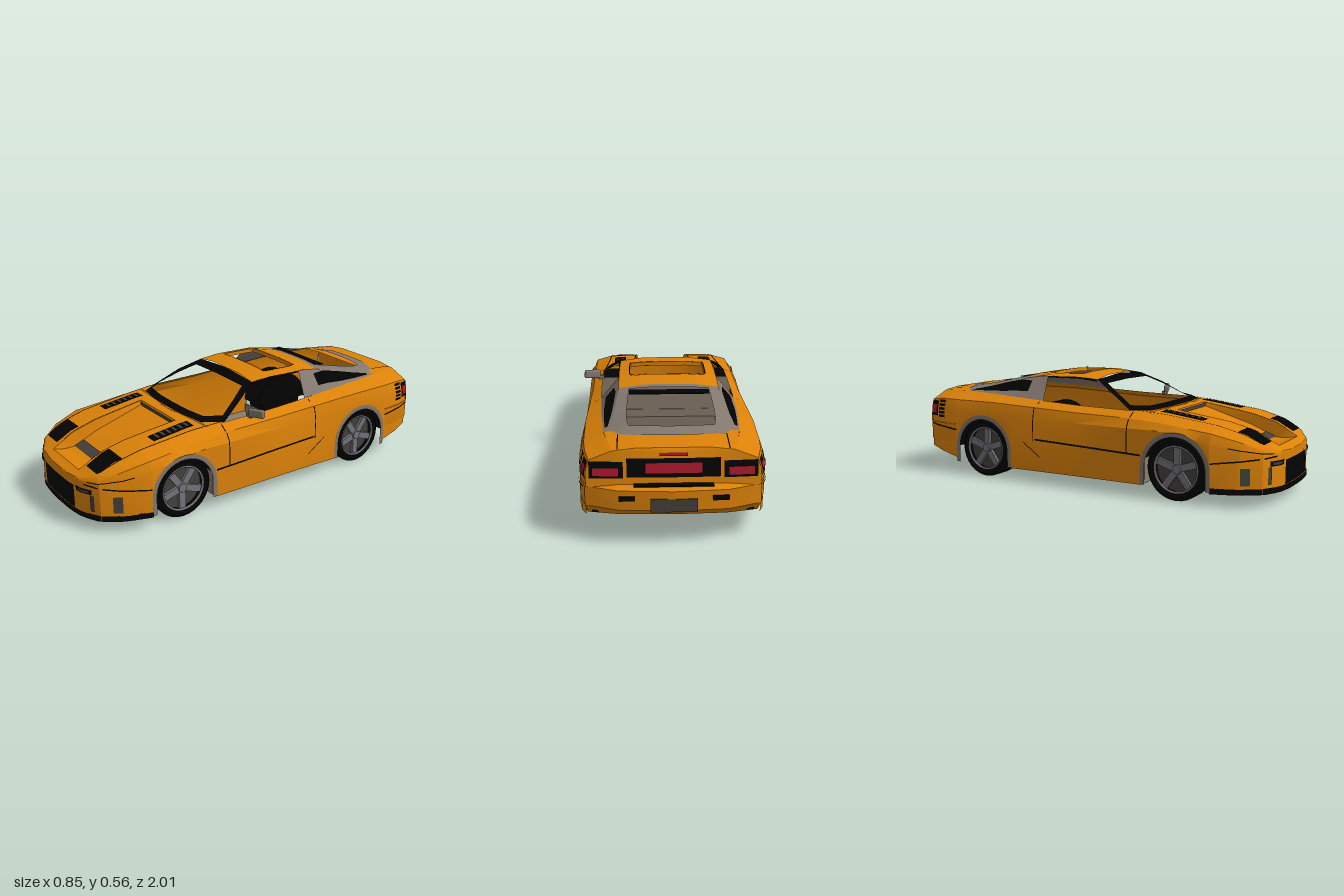
import * as THREE from 'three';
import { toCreasedNormals } from 'three/addons/utils/BufferGeometryUtils.js';
import { RoundedBoxGeometry } from 'three/addons/geometries/RoundedBoxGeometry.js';

const material = (name, color) => Object.assign(new THREE.MeshStandardMaterial({ color, side: THREE.DoubleSide }), { name });

// Body sections, nose to tail: z, half width, waist y, shoulder x, y, belt x, y, centre y
const SECTIONS = [
  [1.003, 0, .235, 0, .24, 0, .245, .245],
  [1, .12, .235, .12, .24, .1, .245, .247],
  [.985, .22, .235, .215, .245, .2, .25, .253],
  [.94, .31, .24, .30, .26, .28, .275, .275],
  [.85, .37, .26, .355, .30, .30, .322, .325],
  [.72, .41, .29, .39, .335, .31, .358, .36],
  [.45, .41, .33, .385, .365, .32, .393, .40],
  [.28, .41, .33, .385, .375, .335, .405, .407],
  [0, .405, .33, .385, .38, .335, .41, .41],
  [-.25, .405, .33, .39, .39, .33, .42, .42],
  [-.5, .41, .34, .395, .40, .32, .433, .44],
  [-.75, .41, .34, .39, .40, .30, .44, .455],
  [-.85, .40, .34, .38, .40, .28, .435, .448],
  [-.93, .375, .34, .36, .39, .26, .43, .442],
];
const ROOF = [[.04, .549], [-.07, .559], [-.29, .555], [-.45, .528], [-.61, .493], [-.83, .455]];
const BUMPER = [[.412, -.74], [.404, -.84], [.38, -.93], [.235, -.985], [0, -1]];
// Depth of the sunken hood panel along z
const SUNK = [[.96, 0], [.9, .045], [.85, .073], [.8, .066], [.46, .018], [.452, 0]];
const WHEEL_Z = [.55, -.555], WHEEL_Y = .153, ARCH = .17;

// Linear lookup in a table whose first column falls
function lookup(table, z) {
  let i = 0;
  while (i < table.length - 2 && z < table[i + 1][0]) i++;
  const a = table[i], b = table[i + 1];
  const t = THREE.MathUtils.clamp((a[0] - z) / (a[0] - b[0]), 0, 1);
  return a.map((v, k) => v + (b[k] - v) * t);
}
const span = (a, b, n) => Array.from({ length: n + 1 }, (_, i) => a + (b - a) * i / n);
const lerp = THREE.MathUtils.lerp;
const topY = (x, z) => lookup(ROOF, z)[1] - 5.5 * x ** 4;

// Lower edge of the body, cut by the wheel arches
function sillY(z) {
  for (const c of WHEEL_Z) {
    const d = Math.abs(z - c);
    if (d <= ARCH) return WHEEL_Y + Math.sqrt(ARCH * ARCH - d * d);
  }
  return z < -.72 ? lerp(.09, .145, (-.73 - z) / .24) : .066;
}
function sideX(z, y) {
  const [, w, y2, x3, y3, x4, y4] = lookup(SECTIONS, z);
  if (y <= y2) return w;
  if (y <= y3) return lerp(w, x3, (y - y2) / (y3 - y2));
  return lerp(x3, x4, Math.min(1, (y - y3) / (y4 - y3)));
}
// Hood and tail deck; the hood panel narrows toward the nose
const panelX = (z, x4) => Math.min(.16 - .05 * Math.max(0, z - .45), x4 * .6);
function deckY(x, z) {
  const [, , , , , x4, y4, yc] = lookup(SECTIONS, z);
  const edge = panelX(z, x4);
  if (x <= edge) return yc - lookup(SUNK, z)[1];
  return lerp(yc, y4, Math.min(1, (x - edge) / Math.max(x4 - edge, .001)));
}
const noseZ = x => lookup(SECTIONS.slice(0, 6).map(s => [-s[1], s[0]]), -x)[1];
const tailZ = (x, y) => -.925 - .014 * (1 - (x / .375) ** 2) - (.43 - y) * .09;

// Surface through rows of points
function grid(rows) {
  const n = rows[0].length, index = [];
  for (let r = 0; r < rows.length - 1; r++) for (let c = 0; c < n - 1; c++) {
    const a = r * n + c;
    index.push(a, a + 1, a + n, a + 1, a + n + 1, a + n);
  }
  const g = new THREE.BufferGeometry();
  g.setAttribute('position', new THREE.Float32BufferAttribute(rows.flat(2), 3));
  g.setIndex(index);
  return toCreasedNormals(g, .45);
}

export function createModel() {
  const car = new THREE.Group();
  car.name = 'car';
  const paint = material('orange paint', 0xdc8208), black = material('black trim', 0x030303);
  const grey = material('grey trim', 0x82786f), floorGrey = material('floor grey', 0x8a7d6f);
  const carpet = material('carpet grey', 0x665b52), pale = material('pale underbody', 0xc8baa6);
  const slat = material('slat grey', 0x45413c), silver = material('rim silver', 0x74747c);
  const red = material('lamp red', 0xb01a2c);

  const add = (name, mat, geo, parent = car) => {
    const m = new THREE.Mesh(geo, mat);
    m.name = name;
    parent.add(m);
    return m;
  };
  const both = (name, mat, rows) => {
    add(name + 'Left', mat, grid(rows));
    add(name + 'Right', mat, grid(rows.map(r => r.map(([x, y, z]) => [-x, y, z]))));
  };
  const box = (name, mat, w, h, d, x, y, z) => add(name, mat, new THREE.BoxGeometry(w, h, d)).position.set(x, y, z);
  // Thin painted patches that follow the body
  const sidePatch = (name, mat, z0, z1, y0, y1, rise = 0, off = .004) =>
    both(name, mat, span(0, 1, 6).map(v => span(0, 1, 8).map(t => {
      const z = lerp(z0, z1, t), y = lerp(y0, y1, v) + rise * t;
      return [sideX(z, y) + off, y, z];
    })));
  const deckPatch = (name, mat, x0, x1, z0, z1, taper = 0, off = .004) =>
    both(name, mat, span(0, 1, 6).map(t => span(0, 1, 4).map(u => {
      const z = lerp(z0, z1, t), x = lerp(x0, x1 - taper * t, u);
      return [x, deckY(x, z) + off, z];
    })));
  const nosePatch = (name, mat, x0, x1, y0, y1, off = .005) =>
    both(name, mat, [y0, y1].map(y => span(x0, x1, 8).map(x => [x, y, noseZ(x) + off])));
  const tailPatch = (name, mat, x0, x1, y0, y1, off = .004) =>
    both(name, mat, [y0, y1].map(y => span(x0, x1, 6).map(x => [x, y, tailZ(x, y) - off])));

  // Body sides, wrapping round the nose
  const zs = SECTIONS.map(s => s[0]);
  for (const c of WHEEL_Z) {
    zs.push(c + ARCH + .0005, c - ARCH - .0005);
    for (let k = 0; k <= 14; k++) zs.push(c + (ARCH - .0001) * Math.cos(k * Math.PI / 14));
  }
  zs.sort((a, b) => b - a);
  both('bodySide', paint, zs.map(z => {
    const [, w, y2, x3, y3, x4, y4] = lookup(SECTIONS, z), y0 = sillY(z);
    return [[w, y0, z], [w, Math.max(y2, y0 + .004), z], [x3, Math.max(y3, y0 + .008), z], [x4, y4, z]];
  }));
  // Hood, cowl corners and tail deck
  const deckRow = z => {
    const x4 = lookup(SECTIONS, z)[5], e = panelX(z, x4);
    return [x4, e + (x4 > .2 ? .008 : 0), e, 0].map(x => [x, deckY(x, z), z]);
  };
  both('hood', paint, [.4, .45, .46, .6, .72, .8, .85, .9, .94, .96, .985, 1, 1.003].map(deckRow));
  both('cowl', paint, [[.4, 0], [.37, .27], [.28, .33]].map(([z, x]) => {
    const s = lookup(SECTIONS, z);
    return [[s[5], s[6], z], [x, .404, z]];
  }));
  both('tailDeck', paint, [-.735, -.8, -.85, -.9, -.93].map(deckRow));

  // Tail panel and rear bumper
  const tailTop = x => {
    const [, w, y2, x3, y3, x4] = lookup(SECTIONS, -.93);
    if (x <= x4) return deckY(x, -.93);
    return x <= x3 ? lerp(.43, y3, (x - x4) / (x3 - x4)) : lerp(y3, y2, (x - x3) / (w - x3));
  };
  const tx = [0, .08, .16, .24, .26, .31, .36, .375];
  both('tailPanel', paint, [
    tx.map(x => [x, tailTop(x), -.93]),
    tx.map(x => [x, tailTop(x) - .012, tailZ(x, tailTop(x))]),
    tx.map(x => [x, .27, tailZ(x, .27)]),
  ]);
  both('rearBumper', paint, [
    BUMPER.map(([x, z]) => [x * .97, lerp(.09, .145, (-.73 - z) / .24), z * .975]),
    BUMPER.map(([x, z]) => [x, .18, z]),
    BUMPER.map(([x, z]) => [x, .27, z]),
    BUMPER.map(([x, z]) => [x * .95, .287, z + .05]),
  ]);
  box('bumperLedge', black, .34, .006, .028, 0, .286, -.967);
  box('numberPlate', slat, .2, .06, .008, 0, .205, -.997);
  for (const s of [-1, 1]) box('bumperSlot', black, .07, .022, .008, s * .2, .235, -.989);

  // Windshield surround, open in the middle
  both('windshieldFrame', black, [
    [[0, topY(0, .04), .04], [.235, topY(.235, .04), .04], [.291, .48, .15], [.335, .406, .275], [.27, .405, .37], [.14, .408, .393], [0, .41, .4]],
    [[0, .52, .085], [.212, .515, .085], [.259, .474, .17], [.3, .425, .262], [.25, .422, .34], [.13, .424, .36], [0, .426, .366]],
  ]);
  // Roof with sunroof opening, and rear hatch frame
  const onRoof = p => p.map(([x, z]) => [x, topY(x, z), z]);
  const sunroof = [[0, -.075], [.1, -.075], [.18, -.075], [.185, -.1], [.185, -.17], [.185, -.24], [.18, -.27], [.1, -.27], [0, -.27]];
  both('roof', paint, [
    onRoof([[0, .04], [.12, .04], [.235, .04], [.238, -.07], [.24, -.17], [.24, -.29], [.24, -.38], [.12, -.38], [0, -.38]]),
    onRoof(sunroof),
  ]);
  both('sunroofSeal', black, [1, 1.025].map(k =>
    onRoof(sunroof.map(([x, z]) => [x * k, -.172 + (z + .172) * k])).map(([x, y, z]) => [x, y + .003, z])));
  both('sunroofWall', paint, [0, .02].map(d => onRoof(sunroof).map(([x, y, z]) => [x, y - d, z])));
  both('hatchFrame', grey, [
    onRoof([[0, -.38], [.12, -.38], [.24, -.38], [.25, -.5], [.262, -.62], [.265, -.74], [.23, -.79], [.12, -.82], [0, -.825]]),
    onRoof([[0, -.41], [.1, -.41], [.19, -.41], [.195, -.5], [.2, -.6], [.2, -.68], [.19, -.73], [.1, -.745], [0, -.75]]),
  ]);
  box('hatchBeam', black, .38, .004, .06, 0, .521, -.44);
  both('roofRail', black, [[.235, 0], [.244, -.009]].map(([x, d]) =>
    span(.04, -.26, 6).map(z => [x, topY(.236, z) + d, z])));

  // Rear pillars with dark quarter windows
  const EDGE = [[-.22, .24], [-.38, .24], [-.5, .25], [-.62, .262], [-.74, .265]];
  const pillar = (z, t, off = 0) => {
    const s = lookup(SECTIONS, z), x = lookup(EDGE, z)[1];
    return [lerp(s[5], x, t) + off, lerp(s[6], topY(x, z), t) + off * .7, z];
  };
  both('rearPillar', grey, [-.225, -.3, -.38, -.5, -.62, -.74].map(z => [0, .5, 1].map(t => pillar(z - (z > -.25 ? .03 * t : 0), t))));
  both('quarterWindow', black, [[-.34, .3, .8], [-.41, .3, .92], [-.5, .25, .92], [-.6, .25, .9], [-.7, .3, .6]]
    .map(([z, a, b]) => [pillar(z, a, .005), pillar(z, b, .005)]));

  // Front details
  nosePatch('grille', black, 0, .16, .09, .205, .004);
  sidePatch('frontLip', black, 1.003, .725, .063, .09, 0, .006);
  nosePatch('lipFront', black, 0, .4, .063, .09, .007);
  nosePatch('noseSlot', black, .18, .275, .188, .212);
  nosePatch('noseLamp', slat, .195, .262, .194, .206, .008);
  nosePatch('intakeInner', slat, .265, .285, .105, .185);
  nosePatch('intakeOuter', slat, .345, .37, .105, .185);
  deckPatch('headlight', black, .165, .295, .81, .93, .02);
  deckPatch('noseVent', slat, 0, .138, .80, .85);
  both('hoodStep', slat, [[[0, .377, .462], [.155, .377, .462]], [[0, .398, .462], [.155, .398, .462]]]);
  both('hoodLine', black, [.009, .013].map(d => span(.45, .9, 8).map(z => {
    const x = panelX(z, 1) + d;
    return [x, deckY(x, z) + .002, z];
  })));
  both('hoodSeam', black, [0, .006].map(d => span(.3, .92, 12).map(z => {
    const x = lookup(SECTIONS, z)[5] - .004 - d;
    return [x, deckY(x, z) + .003, z];
  })));
  sidePatch('noseSeam', black, .99, .8, .239, .243, .034);
  deckPatch('tailSeam', black, .236, .241, -.79, -.93, 0, .003);
  deckPatch('hoodVent', black, .215, .28, .415, .635);
  for (let i = 0; i < 6; i++) deckPatch('hoodSlat' + i, slat, .223, .272, .435 + i * .032, .451 + i * .032, 0, .008);

  // Side lines, door gaps, vents and lamps
  sidePatch('frontLine', black, .98, .725, .228, .235, -.03);
  sidePatch('doorLine', black, .375, -.23, .203, .212, .022);
  sidePatch('sillCrease', black, -.2, -.3, .138, .143, .07);
  sidePatch('rearLine', black, -.73, -.92, .238, .246, .02, .008);
  sidePatch('doorGapFront', black, .302, .297, .21, .40);
  sidePatch('doorGapRear', black, -.238, -.243, .22, .415);
  for (let i = 0; i < 5; i++) sidePatch('louver' + i, black, -.82, -.865, .30 + i * .02, .313 + i * .02);
  sidePatch('sideLampFrame', black, -.875, -.93, .305, .385);
  sidePatch('sideLamp', red, -.885, -.925, .32, .365, 0, .007);
  tailPatch('tailGarnish', black, 0, .2, .315, .4);
  tailPatch('tailCentre', red, 0, .12, .335, .38, .008);
  tailPatch('tailLampFrame', black, .215, .36, .31, .385);
  tailPatch('tailLamp', red, .235, .345, .322, .357, .008);
  tailPatch('brakeLamp', red, 0, .06, .409, .424);

  // Underbody and cabin floor
  box('cabinFloor', floorGrey, .8, .014, .76, 0, .074, 0);
  box('cabinCarpet', carpet, .6, .006, .74, 0, .085, 0);
  box('frontBayFloor', floorGrey, .52, .01, .36, 0, .13, .55);
  const floorSheet = (name, mat, y) => add(name, mat, grid([[-.38, 0], [-.72, .02], [-.8, .04]].map(([z, d]) => [[-.262, y + d, z], [.262, y + d, z]])));
  floorSheet('rearFloor', pale, .09);
  floorSheet('rearCarpet', carpet, .096);
  box('tailFloor', floorGrey, .22, .008, .16, 0, .15, -.88);
  for (const s of [-1, 1]) box('tailFloorSide', black, .24, .008, .14, s * .23, .15, -.86);
  box('firewall', floorGrey, .78, .26, .01, 0, .2, .38);
  box('rearBulkhead', floorGrey, .78, .06, .01, 0, .1, -.38);
  add('noseFloor', floorGrey, grid([.725, .85, .94, .985, 1].map(z => {
    const w = lookup(SECTIONS, z)[1];
    return [[-w, .066, z], [w, .066, z]];
  })));
  box('noseBulkhead', floorGrey, .8, .1, .008, 0, .116, .728);

  // Arch trims, wheel wells and wheels
  const tyreProfile = [[.1, -.058], [.135, -.0625], [.15, -.05], [.15, .05], [.135, .0625], [.112, .058]]
    .map(([r, y]) => new THREE.Vector2(r, y));
  for (const c of WHEEL_Z) {
    const name = c > 0 ? 'front' : 'rear';
    both(name + 'ArchTrim', grey, [.155, .177].map(r => [
      [.414, .07, c + r],
      ...span(0, Math.PI, 20).map(a => [.414, WHEEL_Y + r * Math.sin(a), c + r * Math.cos(a)]),
      [.414, .07, c - r],
    ]));
    both(name + 'WheelWell', black, [[.41, ARCH], [.262, ARCH], [.262, .001]].map(([x, r]) =>
      span(0, Math.PI, 16).map(a => [x, WHEEL_Y + r * Math.sin(a), c + r * Math.cos(a)])));
    for (const s of [-1, 1]) {
      const wheel = new THREE.Group();
      wheel.name = name + (s > 0 ? 'LeftWheel' : 'RightWheel');
      wheel.position.set(s * .336, WHEEL_Y, c);
      wheel.rotation.z = -s * Math.PI / 2;
      car.add(wheel);
      add('tyre', black, toCreasedNormals(new THREE.LatheGeometry(tyreProfile, 32), .5), wheel);
      add('innerFace', black, new THREE.CylinderGeometry(.106, .106, .05, 32), wheel).position.y = -.03;
      add('rimBack', slat, new THREE.CylinderGeometry(.11, .11, .03, 32), wheel).position.y = .015;
      const lip = add('rimLip', silver, new THREE.TorusGeometry(.11, .006, 8, 32), wheel);
      lip.rotation.x = Math.PI / 2;
      lip.position.y = .054;
      add('hub', silver, new THREE.CylinderGeometry(.022, .03, .03, 16), wheel).position.y = .04;
      for (let i = 0; i < 5; i++) {
        const a = i * Math.PI * 2 / 5;
        const spoke = add('spoke', silver, new THREE.BoxGeometry(.094, .016, .034), wheel);
        spoke.position.set(Math.cos(a) * .062, .04, Math.sin(a) * .062);
        spoke.rotation.y = -a;
      }
    }
  }

  // Single door mirror on the left
  const mirror = add('doorMirror', grey, new RoundedBoxGeometry(.09, .044, .024, 3, .01));
  mirror.position.set(.39, .433, .125);
  mirror.rotation.set(0, .35, .08);
  box('mirrorStem', grey, .035, .02, .016, .345, .412, .135);

  car.position.x = -.01;
  const model = new THREE.Group();
  model.name = 'sportsCoupe';
  model.add(car);
  return model;
}
